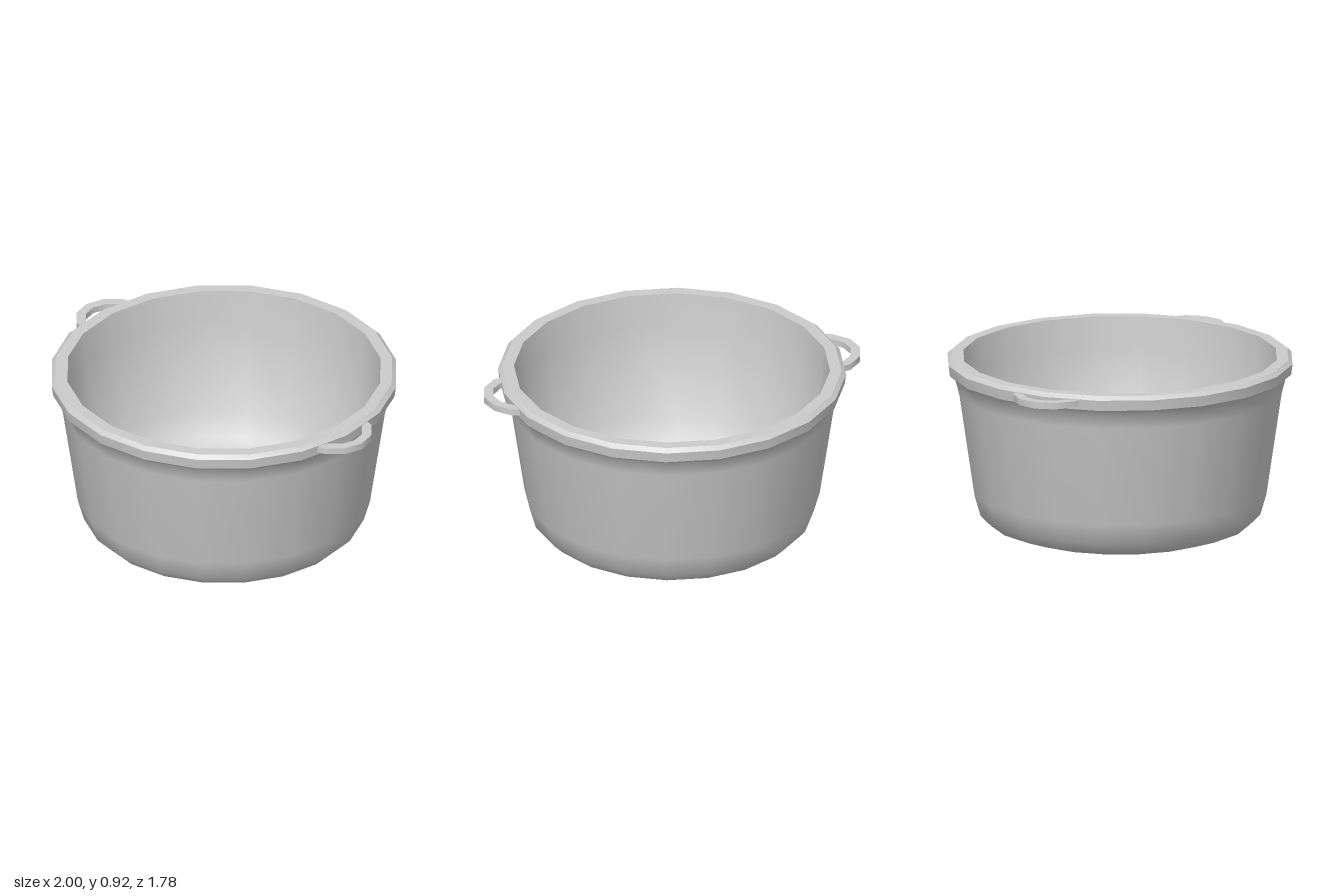
import * as THREE from 'three';
import { toCreasedNormals } from 'three/addons/utils/BufferGeometryUtils.js';

const SIDES = 20;
const CREASE = 0.68;

export function createModel() {
  const group = new THREE.Group();
  group.name = 'cookingPot';
  const material = new THREE.MeshStandardMaterial({ color: 0xcccccc });

  // Pot body: outside from the base up, over the rim, then down the rounded inside
  const profile = [
    [0, 0], [0.54, 0], [0.67, 0.045], [0.725, 0.1], [0.757, 0.21],
    [0.835, 0.74], [0.855, 0.82], [0.885, 0.845], [0.892, 0.9], [0.87, 0.92],
    [0.81, 0.92], [0.793, 0.75], [0.72, 0.26], [0.64, 0.15], [0.46, 0.085], [0, 0.06],
  ].map(([r, y]) => new THREE.Vector2(r, y));
  const body = new THREE.Mesh(
    toCreasedNormals(new THREE.LatheGeometry(profile, SIDES), CREASE), material);
  body.name = 'potBody';
  group.add(body);

  // Handles: flat half rings whose ends sink into the rim
  const ring = [];
  for (const [radius, dir] of [[0.195, 1], [0.145, -1]]) {
    for (let i = -3; i <= 3; i++) {
      const a = dir * i * Math.PI / 6;
      ring.push(new THREE.Vector2(radius * Math.cos(a), radius * Math.sin(a)));
    }
  }
  const handleGeometry = new THREE.ExtrudeGeometry(
    new THREE.Shape(ring), { depth: 0.034, bevelEnabled: false });
  handleGeometry.rotateX(-Math.PI / 2).translate(0.805, 0.863, 0);
  const handleSmooth = toCreasedNormals(handleGeometry, CREASE);
  for (const [name, angle] of [['leftHandle', 0], ['rightHandle', Math.PI]]) {
    const handle = new THREE.Mesh(handleSmooth, material);
    handle.name = name;
    handle.rotation.y = angle;
    group.add(handle);
  }
  return group;
}
